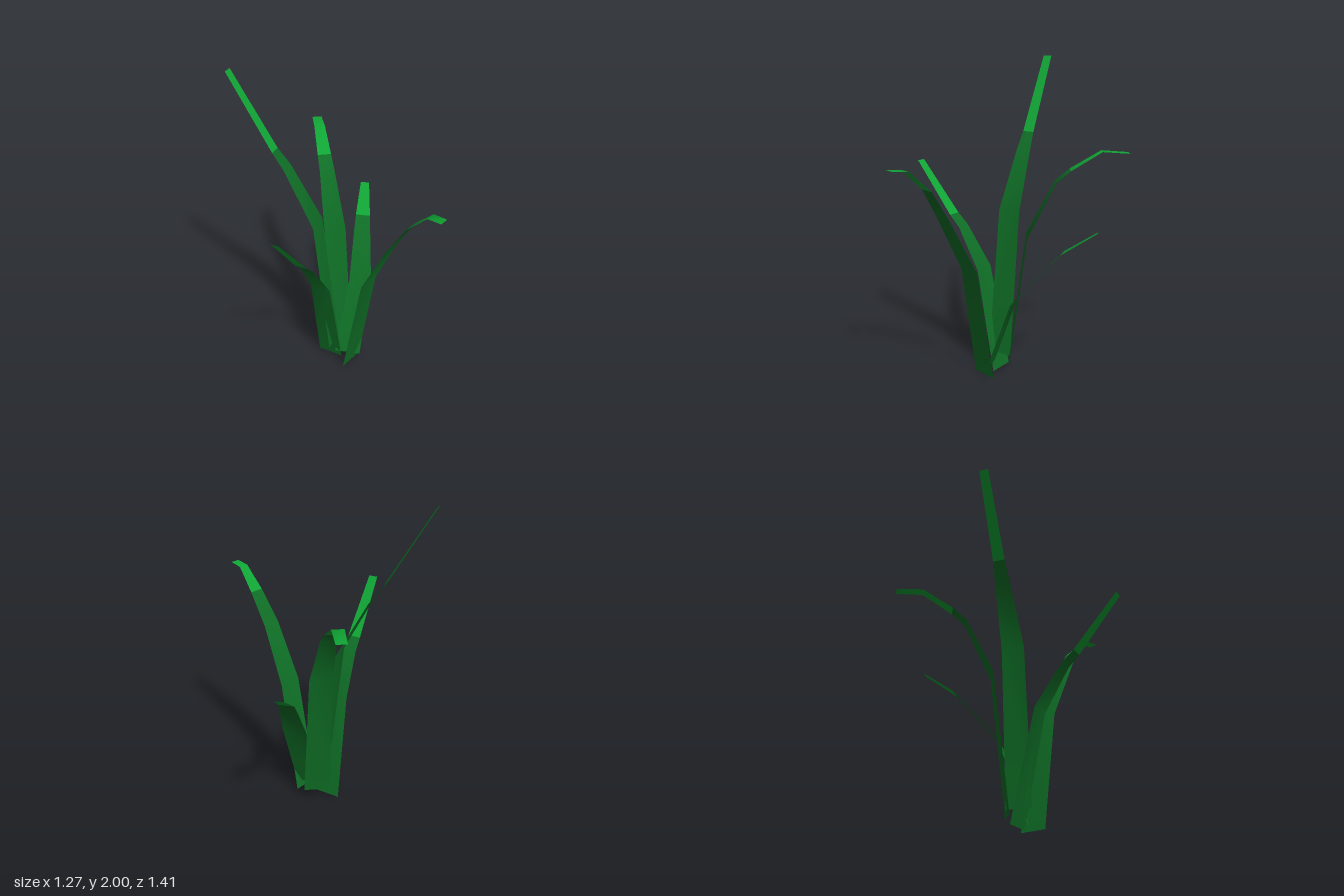
import * as THREE from 'three';

const leafGreen = new THREE.MeshStandardMaterial({ color: 0x0f6e26, side: THREE.DoubleSide });
leafGreen.name = 'leafGreen';
const tipGreen = new THREE.MeshStandardMaterial({ color: 0x10a535, side: THREE.DoubleSide });
tipGreen.name = 'tipGreen';

const LEAF_SEGMENTS = 3; // segments below the bright tip

// Thin smooth ribbon along a midrib of [x, y, z, width] stations.
// Its width lies level, turned from +x towards +z by the given degrees.
function makeBlade(name, degrees, midrib) {
  const angle = THREE.MathUtils.degToRad(degrees);
  const across = new THREE.Vector3(Math.cos(angle), 0, Math.sin(angle));
  const edges = midrib.flatMap(([x, y, z, width]) => [-0.5, 0.5].map(
    (half) => new THREE.Vector3(x, y, z).addScaledVector(across, half * width)));
  const index = [];
  for (let a = 0; a < edges.length - 2; a += 2) {
    index.push(a, a + 1, a + 3, a, a + 3, a + 2);
  }
  const geometry = new THREE.BufferGeometry().setFromPoints(edges);
  geometry.setIndex(index);
  geometry.computeVertexNormals();
  // Lower leaf and bright tip
  const split = LEAF_SEGMENTS * 6;
  geometry.addGroup(0, split, 0);
  geometry.addGroup(split, index.length - split, 1);
  const mesh = new THREE.Mesh(geometry, [leafGreen, tipGreen]);
  mesh.name = name;
  return mesh;
}

export function createModel() {
  const tuft = new THREE.Group();
  tuft.name = 'grassTuft';

  // Arching blade leaning forwards
  tuft.add(makeBlade('frontBlade', 0, [
    [0.022, 0.01, 0.05, 0.175], [0.03, 0.75, 0.18, 0.155], [0.01, 1.1, 0.355, 0.12],
    [0.016, 1.3, 0.477, 0.093], [-0.004, 1.43, 0.61, 0.064], [-0.017, 1.44, 0.705, 0.06],
  ]));
  // Tallest blade, leaning back
  tuft.add(makeBlade('tallBackBlade', -17, [
    [0.011, 0.11, -0.093, 0.16], [-0.015, 1.06, -0.193, 0.145], [-0.076, 1.42, -0.372, 0.096],
    [-0.105, 1.53, -0.443, 0.075], [-0.193, 2, -0.7, 0.057],
  ]));
  // Straight-tipped blade on the right
  tuft.add(makeBlade('rightBlade', 79, [
    [0.002, 0, -0.115, 0.173], [-0.132, 0.67, -0.083, 0.137], [-0.295, 0.93, -0.045, 0.092],
    [-0.365, 1, -0.027, 0.084], [-0.633, 1.33, 0.035, 0.058],
  ]));
  // Shortest blade, on the left
  tuft.add(makeBlade('leftBlade', 62, [
    [0.03, 0.05, 0.012, 0.172], [0.212, 0.55, -0.023, 0.148], [0.385, 0.8, -0.144, 0.112],
    [0.452, 0.89, -0.19, 0.097], [0.622, 1.03, -0.305, 0.058],
  ]));
  // Arching blade towards the back left
  tuft.add(makeBlade('backLeftBlade', 42, [
    [0.085, 0.07, -0.105, 0.17], [0.15, 0.93, -0.189, 0.14], [0.25, 1.27, -0.333, 0.096],
    [0.306, 1.345, -0.402, 0.088], [0.43, 1.46, -0.545, 0.07], [0.543, 1.45, -0.665, 0.062],
  ]));
  return tuft;
}
